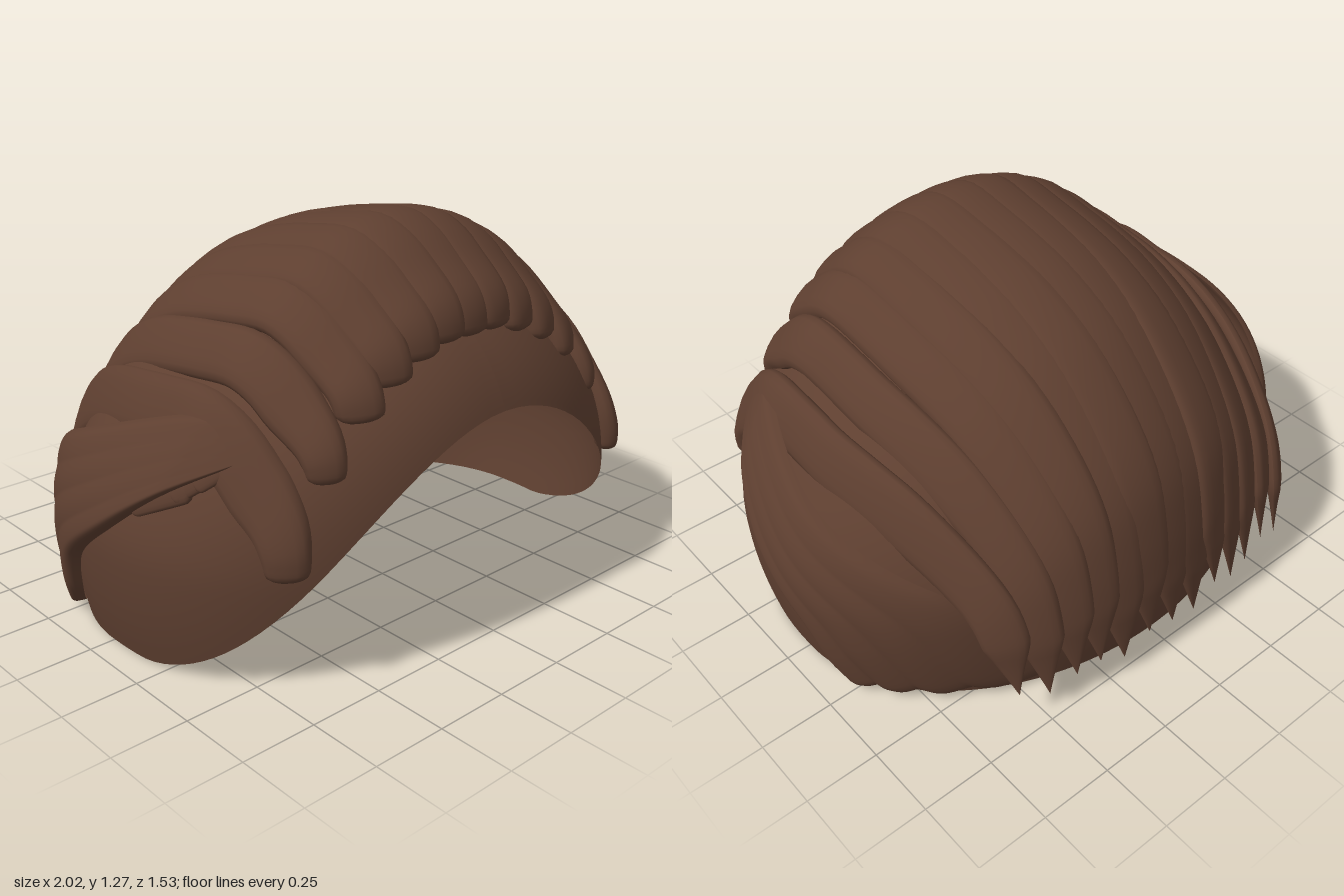
import * as THREE from 'three';

const hair = new THREE.MeshStandardMaterial({ color: 0x5e3f30, side: THREE.DoubleSide });
hair.name = 'brown hair';

const V = (x, y, z) => new THREE.Vector3(x, y, z);
const lerpTable = (table, x) => {
  const last = table.length - 1, f = Math.min(x, 0.9999) * last, i = Math.floor(f);
  return table[i] + (table[i + 1] - table[i]) * (f - i);
};

// Head proportions: half widths shrink above and slightly below y = 0.4
const RX = 0.955, FRONT = 0.8, BACK = 0.71, MID = 0.4;
const CAP_TOP = 1.14, SIDE_TOP = 1.18;
function shrink(y, power, top) {
  if (y < MID) return 1 - 0.045 * ((MID - y) / 0.34) ** 2;
  return Math.max(0, 1 - ((y - MID) / (top - MID)) ** power) ** (1 / power);
}
// Half width of the side hair's base surface at a height and depth
function sideX(y, z) {
  const front = z > 0, n = front ? 2.4 : 2;
  const r = front ? FRONT * shrink(y, 2.8, SIDE_TOP) : BACK * shrink(y, 2, SIDE_TOP);
  return RX * shrink(y, 2, SIDE_TOP) * Math.max(0, 1 - (Math.abs(z) / r) ** n) ** (1 / n);
}

// Indexed surface from a rectangular grid of points
function gridGeometry(rows, cols, point, flip = false) {
  const pos = [], index = [];
  for (let i = 0; i <= rows; i++) for (let j = 0; j <= cols; j++) pos.push(...point(i / rows, j / cols));
  for (let i = 0; i < rows; i++) for (let j = 0; j < cols; j++) {
    const a = i * (cols + 1) + j, b = a + 1, c = a + cols + 1, d = c + 1;
    if (flip) index.push(a, b, c, b, d, c);
    else index.push(a, c, b, b, c, d);
  }
  const g = new THREE.BufferGeometry();
  g.setAttribute('position', new THREE.Float32BufferAttribute(pos, 3));
  g.setIndex(index);
  g.computeVertexNormals();
  return g;
}

// Open cap with an arched front hairline
function scalpGeometry() {
  const halfWidth = y => RX * shrink(y, 1.75, CAP_TOP);
  return gridGeometry(32, 128, (v, u) => {
    const a = u * Math.PI * 2, s = Math.sin(a), c = Math.cos(a);
    const n = c > 0 ? 2.4 : 2;
    const ux = Math.sign(s) * Math.abs(s) ** (2 / n), uz = Math.sign(c) * Math.abs(c) ** (2 / n);
    let edge = 0.06;
    if (c > 0) {
      for (let k = 0; k < 12; k++) edge = (edge + Math.max(0.06, 0.8 - 0.91 * (ux * halfWidth(edge)) ** 2)) / 2;
    }
    const y = edge + (CAP_TOP - edge) * Math.sin(v * Math.PI / 2);
    const fz = c > 0 ? FRONT * shrink(y, 3, CAP_TOP) : BACK * shrink(y, 2, CAP_TOP);
    return [ux * halfWidth(y), y, uz * fz];
  }, true);
}

// Flattened lock swept along a path, lying on the head and thinning to its end
function lockGeometry(points, halfWidth, thick, widthAt, rows = 64) {
  const curve = new THREE.CatmullRomCurve3(points, false, 'centripetal');
  return gridGeometry(rows, 16, (t, u) => {
    // crowd the rows towards both ends
    const s = 0.5 - 0.5 * Math.cos(Math.PI * t);
    const p = curve.getPointAt(s), tan = curve.getTangentAt(s);
    const n = V(p.x / 0.64, (p.y - 0.4) / 0.81, p.z / 0.56);
    n.addScaledVector(tan, -n.dot(tan)).normalize();
    const side = tan.clone().cross(n), k = widthAt(s), a = u * Math.PI * 2;
    const c = Math.cos(a), sn = Math.sin(a), depth = thick * (1 - 0.45 * s);
    p.addScaledVector(n, -depth);
    p.addScaledVector(side, Math.sign(c) * Math.abs(c) ** 0.8 * halfWidth * k);
    p.addScaledVector(n, Math.sign(sn) * Math.abs(sn) ** 0.8 * depth * Math.min(1, k * 1.4));
    return p.toArray();
  });
}

const roundEnd = (d, r) => (d >= r ? 1 : Math.sqrt(Math.max(0, 1 - (1 - d / r) ** 2)));

// Long locks from the fringe over the crown to the nape, centre to side
const ACROSS = [0, 0.12, 0.245, 0.37, 0.49, 0.63, 0.79];
const CROWN = [1.33, 1.32, 1.285, 1.225, 1.135, 1.0, 0.84];
const FRINGE = [1.0, 1.0, 0.97, 0.92, 0.84, 0.69, 0.44];
const FRONT_PROFILE = [[0.64, 0], [0.63, 0.22], [0.6, 0.4], [0.51, 0.65], [0.41, 0.88], [0.3, 1]];
const BACK_PROFILE = [[0.1, 0.98], [-0.02, 0.96], [-0.2, 0.915], [-0.4, 0.82], [-0.6, 0.645],
  [-0.7, 0.5], [-0.75, 0.335], [-0.775, 0.17], [-0.8, 0]];
function longLock(i) {
  const k = Math.abs(i), x = Math.sign(i) * ACROSS[k], top = CROWN[k], fringe = FRINGE[k];
  const nape = 0.18 + 0.03 * Math.sin(i * 2.3), u = k / 6;
  const pts = FRONT_PROFILE.map(([z, f]) => V(x * (1 - 0.05 * Math.min(1, f ? (z - 0.3) / 0.3 : 1.2)), fringe + (top - fringe) * f, z));
  for (const [z, f] of BACK_PROFILE) {
    const taper = 1 - (0.08 + 0.15 * u) * Math.max(0, -z / 0.8) ** 1.5;
    pts.push(V(x * taper, nape + (top - nape) * f, z < 0 ? z * (1 - 0.1 * u * u) : z));
  }
  const tipWidth = k > 4 ? 0.6 : 0.78;
  return lockGeometry(pts, k === 6 ? 0.102 : 0.092, 0.043, s => {
    const spread = tipWidth + (1 - tipWidth) * Math.min(1, s / 0.14);
    const narrow = 1 - 0.35 * u * Math.max(0, s - 0.6) / 0.4;
    const point = s > 0.89 ? (1 - s) / 0.11 : 1;
    return roundEnd(s, 0.014) * spread * narrow * point;
  });
}

// Swept-back side hair, bounded by a lower and an upper edge given as (z, y)
const curve2 = pts => new THREE.SplineCurve(pts.map(p => new THREE.Vector2(...p)));
const LOWER = curve2([[0.47, 0.76], [0.28, 0.64], [0.1, 0.5], [-0.1, 0.33], [-0.17, 0.17], [-0.22, 0.1]]);
const UPPER = curve2([[0.46, 0.79], [0.33, 0.86], [0, 0.77], [-0.38, 0.61], [-0.54, 0.46], [-0.62, 0.1]]);
const BULGE = [0.02, 0.045, 0.05, 0.05, 0.05, 0.045];
function sideSweep(sign) {
  return gridGeometry(56, 56, (s, w) => {
    const lo = LOWER.getPoint(s), hi = UPPER.getPoint(s), p = lo.lerp(hi, w);
    const ridge = Math.abs(Math.sin(w * Math.PI * 4));
    const y = p.y - 0.03 * ridge * s ** 10;
    // the lower rim and the ends settle on the cap, the upper rim stands free
    const rim = roundEnd(w, 0.1) * roundEnd(1 - s, 0.05) * (0.5 + 0.5 * roundEnd(1 - w, 0.08));
    const lift = (lerpTable(BULGE, s) + 0.014 * (ridge - 0.6) * s * s) * rim + 0.004;
    return [sign * (sideX(y, p.x) + lift), y, p.x];
  }, sign < 0);
}

// Short wisps at the temple, each from and to (z, y)
const WISPS = [
  [[0.45, 0.76], [0.36, 0.68], 0.028],
  [[0.41, 0.73], [0.3, 0.64], 0.03],
  [[0.35, 0.67], [0.16, 0.58], 0.038]
];
function wisp([from, to, width], sign) {
  const pts = [0, 0.33, 0.66, 1].map(t => {
    const z = from[0] + (to[0] - from[0]) * t, y = from[1] + (to[1] - from[1]) * t;
    return V(sign * (sideX(y, z) + 0.02), y, z);
  });
  return lockGeometry(pts, width, 0.018, s => roundEnd(Math.min(s, 1 - s), 0.12), 20);
}

export function createModel() {
  const model = new THREE.Group();
  model.name = 'hair';
  const add = (geometry, name) => {
    const mesh = new THREE.Mesh(geometry, hair);
    mesh.name = name;
    model.add(mesh);
  };
  add(scalpGeometry(), 'scalpCap');
  for (let i = -6; i <= 6; i++) add(longLock(i), 'longLock');
  for (const sign of [-1, 1]) {
    const label = sign > 0 ? 'left' : 'right';
    add(sideSweep(sign), label + 'SideSweep');
    for (const w of WISPS) add(wisp(w, sign), label + 'TempleWisp');
  }
  return model;
}
